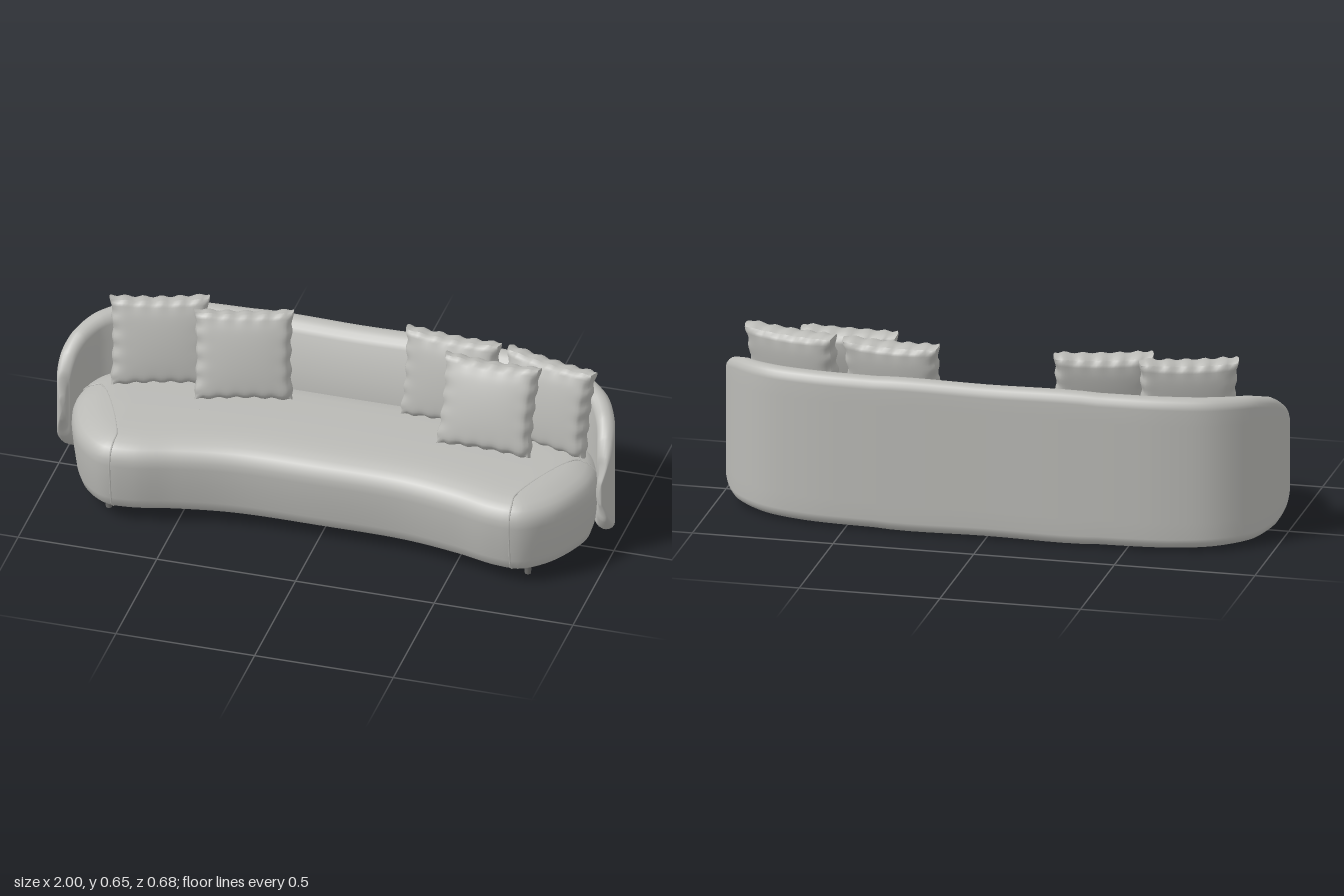
import * as THREE from 'three';

const fabric = new THREE.MeshStandardMaterial({ color: 0xbabab6 });
fabric.name = 'grey fabric';
const legPaint = new THREE.MeshStandardMaterial({ color: 0x6e6e6c });
legPaint.name = 'dark grey leg';

const clamp = THREE.MathUtils.clamp, lerp = THREE.MathUtils.lerp;
const V = (x, y, z) => new THREE.Vector3(x, y, z);

function mesh(name, geometry, material = fabric) {
  const m = new THREE.Mesh(geometry, material);
  m.name = name;
  return m;
}

// Smooth skin over a stack of closed rings with equal point counts
function skin(rings) {
  const n = rings[0].length, index = [];
  for (let k = 0; k < rings.length - 1; k++) {
    for (let i = 0; i < n; i++) {
      const a = k * n + i, b = k * n + (i + 1) % n;
      index.push(a, b, b + n, a, b + n, a + n);
    }
  }
  const g = new THREE.BufferGeometry().setFromPoints(rings.flat());
  g.setIndex(index);
  g.computeVertexNormals();
  return g;
}

// Seat: kidney-shaped outline, inset by a rounded upholstery profile
function seatRings() {
  const half = [[0, .25], [.3, .255], [.5, .29], [.65, .33], [.76, .328], [.86, .24], [.925, .1],
    [.94, 0], [.9, -.14], [.75, -.235], [.4, -.27], [0, -.27]];
  const left = half.slice(1, -1).reverse().map(([x, z]) => [-x, z]);
  const curve = new THREE.CatmullRomCurve3([...half, ...left].map(([x, z]) => V(x, 0, z)), true);
  const outline = [];
  for (let i = 0; i < 160; i++) {
    const p = curve.getPointAt(i / 160), t = curve.getTangentAt(i / 160);
    outline.push({ p, inward: V(t.z, 0, -t.x) });
  }
  // inset, height, blend toward the centre spine
  const profile = [[.055, .05, 1], [.055, .05, .5], [.055, .05, .03], [.045, .054, 0], [.028, .068, 0], [.017, .1, 0],
    [.006, .18, 0], [0, .24, 0], [.002, .265, 0], [.009, .285, 0], [.022, .302, 0], [.045, .317, 0], [.08, .328, 0],
    [.08, .333, .2], [.08, .336, .5], [.08, .337, 1]];
  return profile.map(([inset, y, blend]) => outline.map(({ p, inward }) => {
    const q = p.clone().addScaledVector(inward, inset);
    const sx = clamp(q.x, -.72, .72);
    q.x = lerp(q.x, sx, blend);
    q.z = lerp(q.z, .02 + .1 * sx * sx, blend);
    // underside drops toward the back
    q.y = y + (.07 * q.z - .02) * (1 - (y - .05) / .287);
    return q;
  }));
}

// Seam running up the front corner and across the seat top
function seam(rings, side) {
  const nearest = (x, z) => {
    let best = 0;
    rings[7].forEach((p, i) => {
      if (Math.hypot(p.x - x, p.z - z) < Math.hypot(rings[7][best].x - x, rings[7][best].z - z)) best = i;
    });
    return best;
  };
  const a = nearest(side * .73, .335), b = nearest(side * .93, -.03);
  const pts = [...rings.slice(3, 13).map(r => r[a]), ...rings.slice(8, 13).reverse().map(r => r[b])];
  return new THREE.TubeGeometry(new THREE.CatmullRomCurve3(pts), 70, .003, 5);
}

// Wraparound back: section swept along the outer plan curve
function backrest() {
  // outer x, outer z, thickness, top, bottom
  const half = [[0, -.34, .075, .553, .005], [.4, -.338, .075, .553, .005], [.65, -.32, .075, .552, .006],
    [.81, -.275, .075, .549, .01], [.925, -.18, .07, .537, .016], [.98, -.08, .065, .508, .04],
    [.998, 0, .058, .46, .085], [.993, .05, .045, .395, .145], [.975, .078, .02, .31, .23]];
  const all = [...half.slice(1).reverse().map(([x, ...r]) => [-x, ...r]), ...half];
  const path = new THREE.CatmullRomCurve3(all.map(p => V(p[0], 0, p[1])));
  const size = new THREE.CatmullRomCurve3(all.map(p => V(p[2], p[3], p[4])));
  const rings = [];
  const N = 96;
  for (let k = 0; k <= N; k++) {
    const p = path.getPoint(k / N), t = path.getTangent(k / N), s = size.getPoint(k / N);
    const thick = s.x, h = s.y - s.z, r = Math.min(thick / 2, h / 2);
    const flare = .08 * clamp((1 - Math.abs(p.x)) / .5, 0, 1);
    const section = [];
    const add = (u, y) => {
      const v = clamp((y - s.z) / h, 0, 1);
      // inner face bulges toward the seat
      const d = u + flare * Math.sin(Math.PI * v) * u / thick;
      section.push(V(p.x - t.z * d, y, p.z + t.x * d));
    };
    for (let j = 0; j < 8; j++) add(0, lerp(s.z + r, s.y - r, j / 8));
    for (let j = 0; j < 8; j++) add(thick / 2 * (1 - Math.cos(Math.PI * j / 8)), s.y - r + r * Math.sin(Math.PI * j / 8));
    for (let j = 0; j < 8; j++) add(thick, lerp(s.y - r, s.z + r, j / 8));
    for (let j = 0; j < 8; j++) add(thick / 2 * (1 + Math.cos(Math.PI * j / 8)), s.z + r - r * Math.sin(Math.PI * j / 8));
    rings.push(section);
  }
  // close both tips
  const close = ring => {
    const c = ring.reduce((m, q) => m.add(q), V(0, 0, 0)).divideScalar(ring.length);
    return ring.map(() => c.clone());
  };
  return skin([close(rings[0]), ...rings, close(rings[N])]);
}

// Plump square cushion with pinched sides and gathered edges
function cushionGeometry(width, height) {
  const g = new THREE.BoxGeometry(2, 2, 2, 28, 28, 4), pos = g.attributes.position;
  for (let i = 0; i < pos.count; i++) {
    const u = pos.getX(i), v = pos.getY(i), w = pos.getZ(i);
    const plump = Math.pow(Math.max(0, (1 - u * u) * (1 - v * v)), .4);
    const edge = Math.max(u * u, v * v) ** 4;
    const gather = .003 * edge * (Math.sin(u * 17 + 1) + Math.sin(v * 15));
    const round = 1 - .035 * edge * w * w;
    pos.setXYZ(i,
      u * width / 2 * (1 - .05 * (1 - v * v)) * round + gather * u,
      v * height / 2 * (1 - .05 * (1 - u * u)) * round + gather * v,
      w * (.022 + .036 * plump) + gather * w);
  }
  g.computeVertexNormals();
  return g;
}

export function createModel() {
  const sofa = new THREE.Group();
  sofa.name = 'sofa';

  const rings = seatRings();
  sofa.add(mesh('seat', skin(rings)));
  sofa.add(mesh('leftSeam', seam(rings, 1)), mesh('rightSeam', seam(rings, -1)));
  sofa.add(mesh('backrest', backrest()));

  // Cushions: x, z, turn, lean
  const pillow = cushionGeometry(.345, .325);
  [['rightOuterCushion', -.67, -.12, .3, -.22], ['rightInnerCushion', -.365, -.11, .27, -.28],
    ['leftInnerCushion', .365, -.165, -.06, -.22], ['leftOuterCushion', .73, -.11, -.25, -.22],
    ['leftFrontCushion', .54, -.035, -.03, -.36]].forEach(([name, x, z, turn, lean]) => {
    const c = mesh(name, pillow);
    c.position.set(x, .49, z);
    c.rotation.set(lean, turn, 0, 'YXZ');
    sofa.add(c);
  });

  // Tapered legs
  for (const side of [1, -1]) {
    for (const [name, z, h] of [['FrontLeg', .22, .06], ['BackLeg', -.19, .035]]) {
      const leg = mesh((side > 0 ? 'left' : 'right') + name, new THREE.CylinderGeometry(.017, .011, h, 12), legPaint);
      leg.position.set(side * .755, h / 2, z);
      sofa.add(leg);
    }
  }
  return sofa;
}
